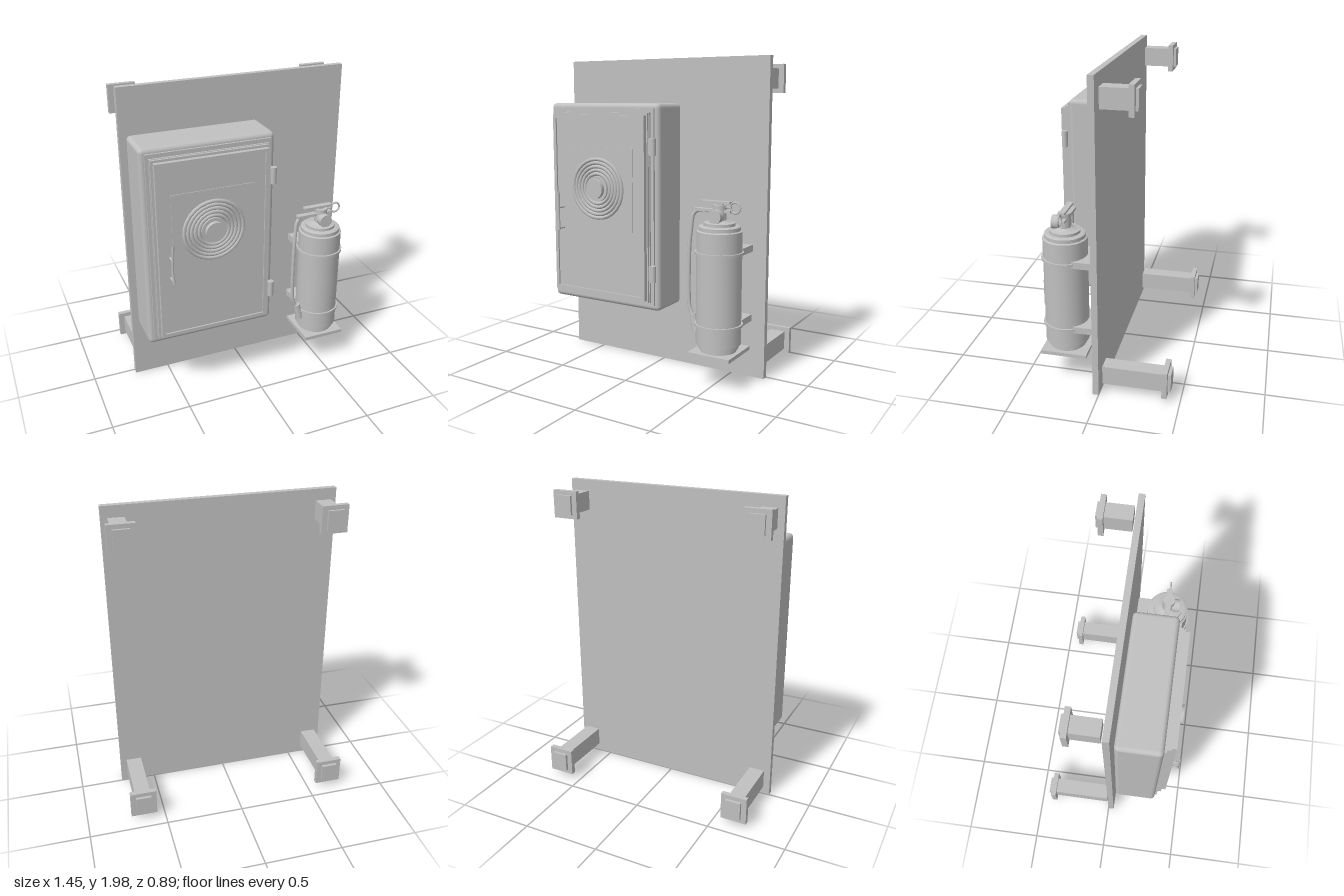
import * as THREE from 'three';
import { RoundedBoxGeometry } from 'three/addons/geometries/RoundedBoxGeometry.js';
import { toCreasedNormals } from 'three/addons/utils/BufferGeometryUtils.js';

const grey = new THREE.MeshStandardMaterial({ color: 0xc0c0c0 });
grey.name = 'plain grey';

function add(parent, name, geometry, x = 0, y = 0, z = 0) {
  const mesh = new THREE.Mesh(geometry, grey);
  mesh.name = name;
  mesh.position.set(x, y, z);
  parent.add(mesh);
  return mesh;
}

// Box given by its extents on each axis
function block(parent, name, [x0, x1], [y0, y1], [z0, z1], radius = 0) {
  const size = [x1 - x0, y1 - y0, z1 - z0];
  const geometry = radius ? new RoundedBoxGeometry(...size, 3, radius) : new THREE.BoxGeometry(...size);
  return add(parent, name, geometry, (x0 + x1) / 2, (y0 + y1) / 2, (z0 + z1) / 2);
}

function group(parent, name) {
  const g = new THREE.Group();
  g.name = name;
  parent.add(g);
  return g;
}

function tube(points, radius, segments = 40) {
  const curve = new THREE.CatmullRomCurve3(points.map((p) => new THREE.Vector3(...p)), false, 'centripetal');
  return new THREE.TubeGeometry(curve, segments, radius, 10);
}

// Flat rectangular frame, extruded forwards
function frame(w, h, border, depth) {
  const rect = (P, a, b) => new P([[-a, -b], [a, -b], [a, b], [-a, b]].map((p) => new THREE.Vector2(...p)));
  const shape = rect(THREE.Shape, w / 2, h / 2);
  shape.holes.push(rect(THREE.Path, w / 2 - border, h / 2 - border));
  return new THREE.ExtrudeGeometry(shape, { depth, bevelEnabled: false });
}

function buildSupports(root) {
  const rows = [
    { name: 'upperSupport', y: 1.865, end: -0.23, flange: -0.198 },
    { name: 'lowerSupport', y: 0.137, end: -0.44, flange: -0.405 },
  ];
  for (const { name, y, end, flange } of rows) {
    for (const side of [-1, 1]) {
      const g = group(root, name);
      const x = side * 0.637;
      block(g, 'strut', [x - 0.05, x + 0.05], [y - 0.06, y + 0.06], [end, -0.015]);
      block(g, 'flange', [x - 0.084, x + 0.084], [y - 0.087, y + 0.087], [flange - 0.016, flange + 0.016]);
    }
  }
}

function buildCabinet(root) {
  const g = group(root, 'cabinet');
  block(g, 'cabinetBody', [-0.69, 0.137], [0.428, 1.715], [0.05, 0.322], 0.028);
  block(g, 'doorSeal', [-0.66, 0.107], [0.465, 1.685], [0.30, 0.335]);
  block(g, 'doorGap', [-0.64, 0.085], [0.485, 1.66], [0.33, 0.347]);
  block(g, 'doorBack', [-0.637, 0.08], [0.488, 1.657], [0.345, 0.362]);
  block(g, 'doorPanel', [-0.61, 0.06], [0.515, 1.63], [0.36, 0.38]);
  add(g, 'doorFrame', frame(0.695, 1.14, 0.022, 0.03), -0.275, 1.073, 0.36);
  block(g, 'reelPlate', [-0.535, -0.015], [0.925, 1.443], [0.379, 0.385]);

  // Coiled hose with a hub in the middle
  const reel = group(g, 'hoseReel');
  reel.position.set(-0.277, 1.184, 0.387);
  for (const r of [0.186, 0.163, 0.14, 0.117, 0.094]) {
    add(reel, 'hoseCoil', new THREE.TorusGeometry(r, 0.012, 8, 28));
  }
  const hub = add(reel, 'reelHub', new THREE.CylinderGeometry(0.06, 0.06, 0.045, 28), 0, 0, 0.015);
  hub.rotation.x = Math.PI / 2;
  const ring = add(reel, 'hubRing', new THREE.CylinderGeometry(0.08, 0.08, 0.02, 28), 0, 0, 0.002);
  ring.rotation.x = Math.PI / 2;

  // Pull handle
  const handle = group(g, 'doorHandle');
  add(handle, 'handleGrip', tube(
    [[-0.549, 1.155, 0.441], [-0.552, 1.08, 0.437], [-0.555, 0.98, 0.435], [-0.55, 0.902, 0.441]], 0.008, 24));
  const post = add(handle, 'handlePost', new THREE.CylinderGeometry(0.007, 0.007, 0.05, 12), -0.552, 1.05, 0.412);
  post.rotation.x = Math.PI / 2;
  const foot = post.clone();
  foot.position.y = 0.915;
  handle.add(foot);

  // Hinges
  for (const y of [1.457, 0.675]) {
    add(g, 'hinge', new THREE.CylinderGeometry(0.019, 0.019, 0.104, 20), 0.115, y, 0.358);
    block(g, 'hingeLeaf', [0.07, 0.112], [y - 0.045, y + 0.045], [0.347, 0.355]);
  }
}

function buildExtinguisher(root) {
  const g = group(root, 'extinguisher');
  const cx = 0.514, cz = 0.25;

  // Tank turned from one stepped profile
  const profile = [
    [0, 0.235], [0.112, 0.235], [0.112, 0.252], [0.122, 0.252], [0.122, 0.28], [0.137, 0.28],
    [0.137, 0.97], [0.126, 0.975], [0.126, 0.997], [0.115, 1.003], [0.095, 1.003], [0.095, 1.02],
    [0.06, 1.024], [0.045, 1.035], [0, 1.035],
  ].map((p) => new THREE.Vector2(...p));
  add(g, 'tank', toCreasedNormals(new THREE.LatheGeometry(profile, 36), 0.6), cx, 0, cz);

  const half = 0.64;
  add(g, 'label', new THREE.CylinderGeometry(0.14, 0.14, 0.163, 16, 1, true, -half, 2 * half), cx, 0.61, cz);

  // Base plate, and straps with their wall brackets
  block(g, 'basePlate', [0.375, 0.652], [0.213, 0.236], [0.097, 0.388]);
  for (const y of [0.84, 0.4]) {
    add(g, 'strap', new THREE.CylinderGeometry(0.148, 0.148, 0.016, 36), cx, y, cz);
    block(g, 'wallBracket', [0.392, 0.636], [y - 0.021, y + 0.021], [0.038, 0.18]);
  }

  // Valve, gauge, levers and pull ring
  const valve = group(g, 'valve');
  add(valve, 'valveNeck', new THREE.CylinderGeometry(0.04, 0.04, 0.1, 24), cx, 1.075, cz);
  const gauge = add(valve, 'gauge', new THREE.CylinderGeometry(0.042, 0.042, 0.05, 24), cx, 1.06, 0.3);
  gauge.rotation.x = Math.PI / 2;
  block(valve, 'lowerLever', [0.345, 0.59], [1.08, 1.097], [0.228, 0.266]);
  block(valve, 'upperLever', [0.392, 0.585], [1.133, 1.146], [0.228, 0.266]);
  block(valve, 'leverPin', [0.495, 0.535], [1.12, 1.134], [0.235, 0.26]);
  add(valve, 'pullRing', new THREE.TorusGeometry(0.032, 0.006, 8, 24), 0.615, 1.113, cz);
  const pin = add(valve, 'safetyPin', new THREE.CylinderGeometry(0.006, 0.006, 0.07, 10), 0.555, 1.113, cz);
  pin.rotation.z = Math.PI / 2;

  // Hose and nozzle
  add(g, 'hose', tube([
    [0.48, 1.085, 0.25], [0.37, 1.083, 0.25], [0.342, 1.06, 0.255], [0.327, 0.96, 0.262],
    [0.32, 0.85, 0.268], [0.319, 0.55, 0.27], [0.326, 0.48, 0.272], [0.35, 0.43, 0.275],
  ], 0.012));
  const nozzle = add(g, 'nozzle', new THREE.CylinderGeometry(0.02, 0.026, 0.11, 18), 0.365, 0.392, 0.278);
  nozzle.rotation.z = 0.22;
}

export function createModel() {
  const root = new THREE.Group();
  root.name = 'fireSafetyPanel';
  block(root, 'backPanel', [-0.725, 0.725], [0.016, 1.993], [0, 0.038]);
  buildSupports(root);
  buildCabinet(root);
  buildExtinguisher(root);
  return root;
}
